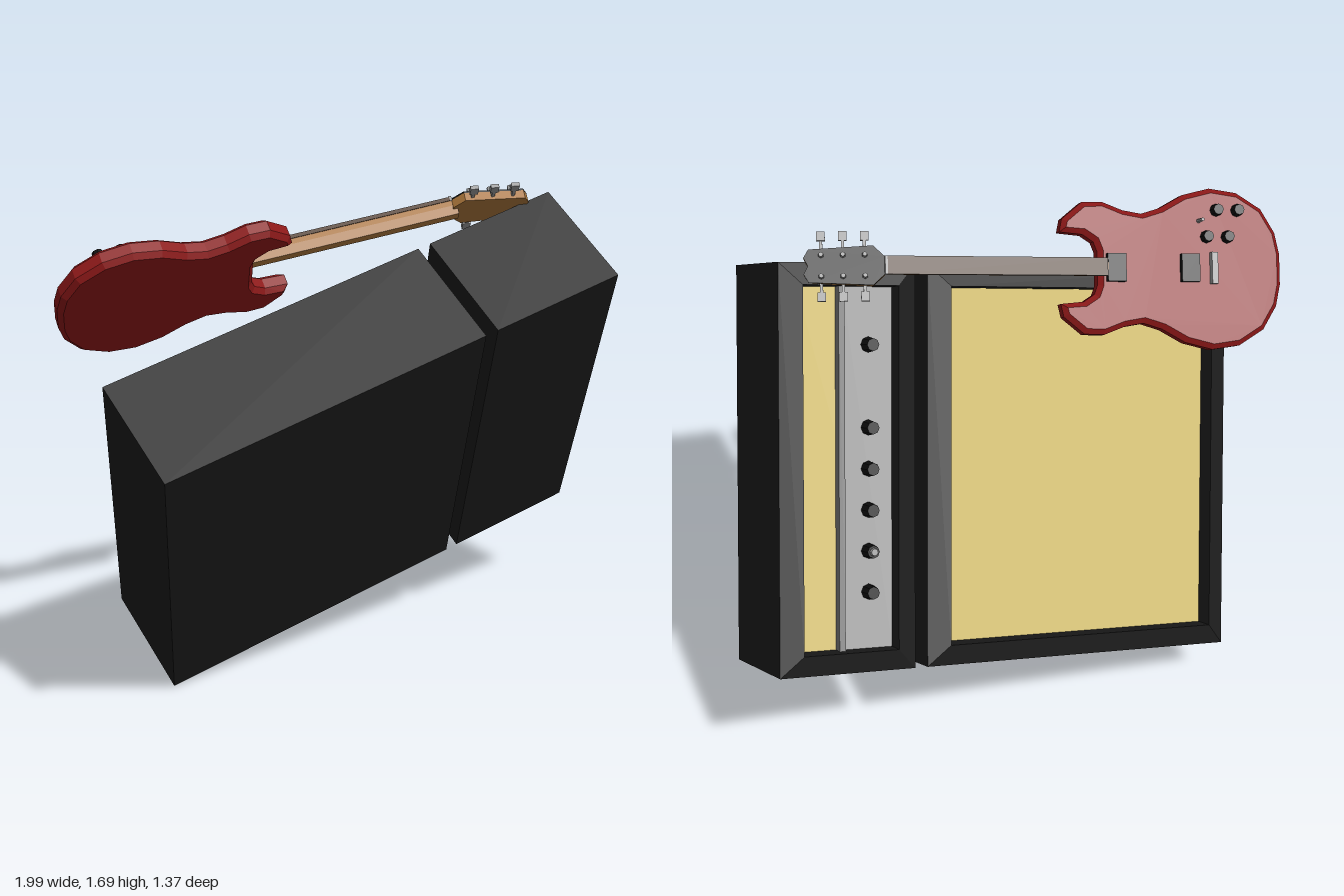
import * as THREE from 'three';

const mat = (color) => new THREE.MeshStandardMaterial({ color, flatShading: true, side: THREE.DoubleSide });
const black = mat(0x1c1c1c), cloth = mat(0xcbb765), metal = mat(0x999999), darkMetal = mat(0x777777);
const red = mat(0x8c1818), wood = mat(0xa8743a), rosewood = mat(0x4a3016), ebony = mat(0x0e0e0e);

function add(parent, name, geometry, material, x = 0, y = 0, z = 0) {
  const mesh = new THREE.Mesh(geometry, material);
  mesh.name = name;
  mesh.position.set(x, y, z);
  parent.add(mesh);
  return mesh;
}

const box = (parent, name, m, w, h, d, x, y, z) =>
  add(parent, name, new THREE.BoxGeometry(w, h, d), m, x, y, z);

// Cylinder standing along local z
function knob(parent, name, m, r, h, x, y, z, sides = 8) {
  const g = new THREE.CylinderGeometry(r * 0.8, r, h, sides).rotateX(Math.PI / 2);
  return add(parent, name, g, m, x, y, z);
}

// Group with its local x and y axes pointing along given directions
function orientedGroup(name, origin, xAxis, yAxis) {
  const y = new THREE.Vector3(...yAxis).normalize();
  const z = new THREE.Vector3(...xAxis).cross(y).normalize();
  const x = y.clone().cross(z);
  const g = new THREE.Group();
  g.name = name;
  g.quaternion.setFromRotationMatrix(new THREE.Matrix4().makeBasis(x, y, z));
  g.position.set(...origin);
  return g;
}

// Cabinet shell: rectangular rings [inset, z] lofted from back to sunken front
function shell(halfW, y0, y1, rings) {
  const pos = [];
  const loops = rings.map(([i, z]) => [
    [-halfW + i, y0 + i, z], [halfW - i, y0 + i, z], [halfW - i, y1 - i, z], [-halfW + i, y1 - i, z]]);
  const quad = (a, b, c, d) => pos.push(...a, ...b, ...c, ...a, ...c, ...d);
  for (let r = 0; r < loops.length - 1; r++)
    for (let k = 0; k < 4; k++) {
      const n = (k + 1) % 4;
      quad(loops[r][k], loops[r][n], loops[r + 1][n], loops[r + 1][k]);
    }
  const b = loops[0];
  quad(b[3], b[2], b[1], b[0]);
  const g = new THREE.BufferGeometry();
  g.setAttribute('position', new THREE.Float32BufferAttribute(pos, 3));
  g.computeVertexNormals();
  return g;
}

function makeAmplifier() {
  const amp = orientedGroup('amplifier', [-0.76, 0.527, -0.10], [-0.38, 0.83, 0.41], [0.911, 0.246, 0.328]);
  const rings = [[0, 0], [0, 0.387], [0.068, 0.417], [0.072, 0.355]];
  const halfW = 0.633, inner = 2 * (halfW - 0.07), sunk = 0.357;

  // Speaker cabinet
  add(amp, 'speakerCabinet', shell(halfW, 0, 1.097, rings), black);
  add(amp, 'speakerGrille', new THREE.PlaneGeometry(inner, 0.957), cloth, 0, 0.5485, sunk);

  // Amplifier head with grille and control panel
  add(amp, 'headCabinet', shell(halfW, 1.14, 1.59, rings), black);
  add(amp, 'headGrille', new THREE.PlaneGeometry(inner, 0.31), cloth, 0, 1.365, sunk);
  box(amp, 'controlPanel', metal, inner, 0.165, 0.02, 0, 1.2925, sunk);
  box(amp, 'panelTrim', darkMetal, inner, 0.02, 0.04, 0, 1.385, sunk + 0.01);
  for (const i of [-3, -2, -1, 0, 1, 3])
    knob(amp, 'controlKnob', ebony, 0.025, 0.045, i * 0.128, 1.29, sunk + 0.03);
  knob(amp, 'knobCap', metal, 0.014, 0.012, -0.256, 1.29, sunk + 0.056);
  return amp;
}

const shapeOf = (pts) => new THREE.Shape(pts.map(([x, y]) => new THREE.Vector2(x, y)));

function makeGuitar() {
  // Local x runs from the body to the headstock, z is the playing side
  const guitar = orientedGroup('guitar', [-0.334, 1.50, -0.163], [0.86, 0.145, 0.49], [0.40, -0.78, -0.48]);

  // Double-cutaway body
  const half = [[-0.61, 0.05], [-0.595, 0.12], [-0.55, 0.195], [-0.47, 0.245], [-0.38, 0.258], [-0.29, 0.235],
    [-0.21, 0.19], [-0.14, 0.168], [-0.07, 0.18], [0.0, 0.207], [0.06, 0.205], [0.12, 0.155], [0.125, 0.135],
    [0.06, 0.13], [0.015, 0.1], [0.0, 0.06], [0.0, 0.03]];
  const outline = [...half, ...half.map(([x, y]) => [x, -y]).reverse()];
  const inset = outline.map(([x, y]) => [-0.25 + (x + 0.25) * 0.955, y * 0.93]);
  const bodyGeo = new THREE.ExtrudeGeometry(shapeOf(inset), {
    depth: 0.035, bevelEnabled: true, bevelThickness: 0.016, bevelSize: 0.016, bevelSegments: 1 });
  add(guitar, 'body', bodyGeo, red, 0, 0, -0.051);

  // Pickups, bridge and controls
  for (const x of [-0.05, -0.295]) box(guitar, 'pickup', ebony, 0.06, 0.088, 0.025, x, 0, 0.008);
  box(guitar, 'bridge', metal, 0.02, 0.1, 0.025, -0.375, 0, 0.01);
  for (const [x, y] of [[-0.46, -0.185], [-0.425, -0.1], [-0.39, -0.185], [-0.355, -0.1]])
    knob(guitar, 'guitarKnob', ebony, 0.021, 0.03, x, y, 0.012);
  knob(guitar, 'selectorSwitch', metal, 0.007, 0.045, -0.33, -0.15, 0.02, 6);

  // Neck with flat-sided back, and fretboard
  const neckShape = shapeOf([[0.026, 0], [0.026, 0.02], [-0.026, 0.02], [-0.026, 0], [-0.013, -0.026], [0.013, -0.026]]);
  const neckGeo = new THREE.ExtrudeGeometry(neckShape, { depth: 0.74, bevelEnabled: false });
  neckGeo.applyMatrix4(new THREE.Matrix4().makeBasis(
    new THREE.Vector3(0, 1, 0), new THREE.Vector3(0, 0, 1), new THREE.Vector3(1, 0, 0)));
  add(guitar, 'neck', neckGeo, wood, -0.04, 0, 0);
  box(guitar, 'fretboard', rosewood, 0.7, 0.056, 0.014, 0.335, 0, 0.026);
  box(guitar, 'nut', metal, 0.008, 0.056, 0.018, 0.688, 0, 0.027);

  // Headstock, tilted back, with tuners on both sides
  const head = new THREE.Group();
  head.name = 'headstock';
  head.position.set(0.69, 0, 0.02);
  head.rotation.y = 0.18;
  guitar.add(head);
  const headShape = shapeOf([[0, -0.027], [0.035, -0.06], [0.23, -0.05], [0.245, -0.025], [0.232, 0],
    [0.245, 0.025], [0.23, 0.05], [0.035, 0.06], [0, 0.027]]);
  const slab = (depth) => new THREE.ExtrudeGeometry(headShape, { depth, bevelEnabled: false });
  add(head, 'headstockWood', slab(0.03), wood, 0, 0, -0.03);
  add(head, 'headstockFace', slab(0.006), ebony);
  for (const side of [-1, 1])
    for (let i = 0; i < 3; i++) {
      const x = 0.06 + i * 0.066;
      knob(head, 'tunerPost', metal, 0.009, 0.03, x, side * 0.032, 0.018, 6);
      box(head, 'tunerShaft', metal, 0.01, 0.04, 0.01, x, side * 0.07, -0.015);
      box(head, 'tunerButton', metal, 0.026, 0.028, 0.014, x, side * 0.092, -0.015);
    }
  return guitar;
}

export function createModel() {
  const model = new THREE.Group();
  model.name = 'guitarAndAmplifier';
  model.add(makeAmplifier(), makeGuitar());
  return model;
}
